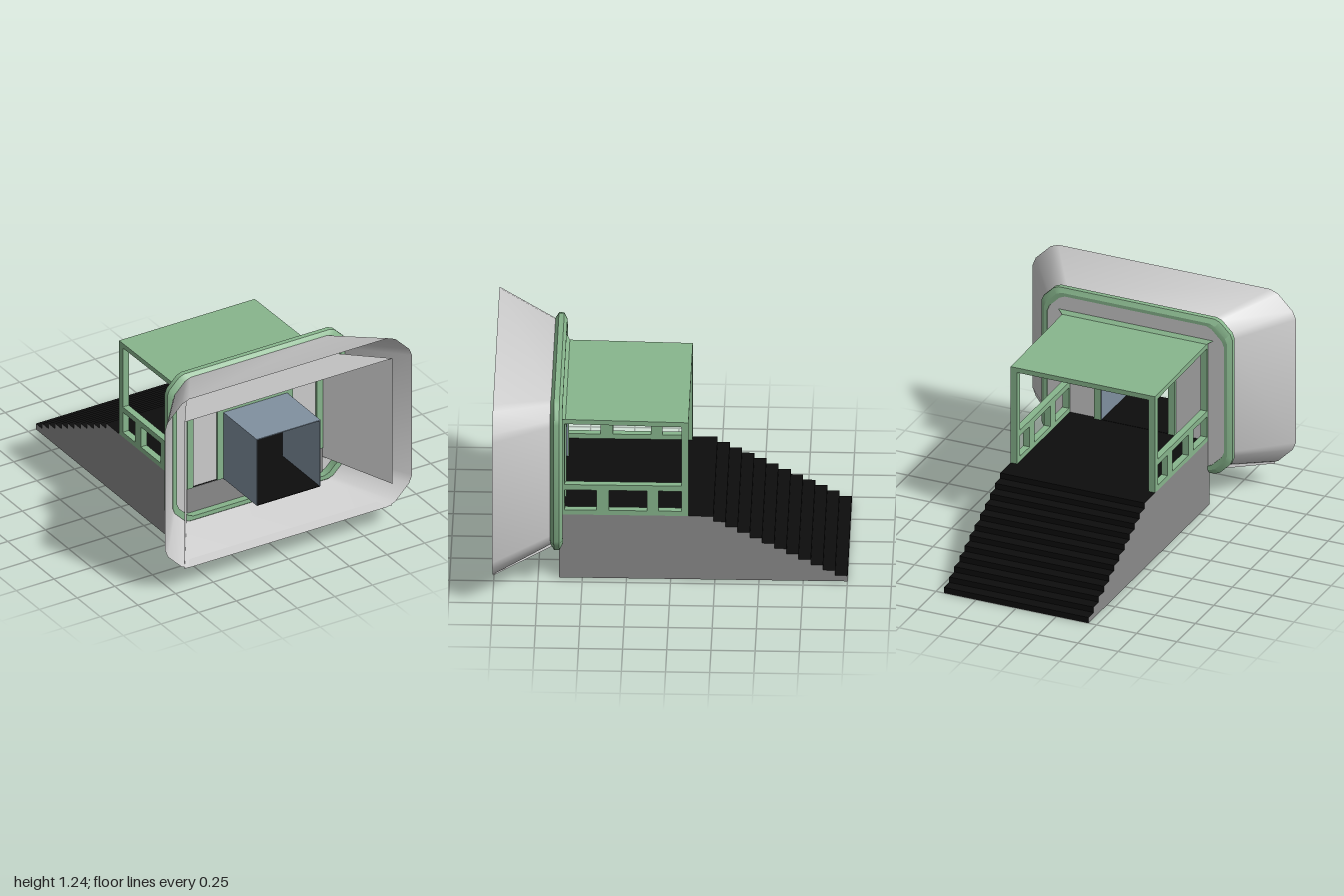
import * as THREE from 'three';
import { toCreasedNormals } from 'three/addons/utils/BufferGeometryUtils.js';

const mat = (color) => new THREE.MeshStandardMaterial({ color, side: THREE.DoubleSide });
const grey = mat(0xcccccc), green = mat(0x88b68d), black = mat(0x0d0d0d);
const darkGrey = mat(0x8a8a8a), blueGrey = mat(0x8090a0), brown = mat(0xa08040);

// Rectangle outline with softened chamfered corners, c = corner size
function outline(hw, y0, y1, c) {
  const corner = [[0, 1], [0.12, 0.7], [0.7, 0.12], [1, 0]];
  const top = corner.map(([a, b]) => [hw - a * c, y1 - b * c]);
  const bottom = corner.map(([a, b]) => [hw - a * c, y0 + b * c]).reverse();
  const right = [...bottom, ...top];
  return [...right, ...right.map(([x, y]) => [-x, y]).reverse()];
}

// Skin between closed loops of 3D points
function loft(loops, crease = 0.75) {
  const pos = [];
  for (let i = 0; i < loops.length - 1; i++) {
    const a = loops[i], b = loops[i + 1], n = a.length;
    for (let j = 0; j < n; j++) {
      const k = (j + 1) % n;
      pos.push(...a[j], ...a[k], ...b[k], ...a[j], ...b[k], ...b[j]);
    }
  }
  const g = new THREE.BufferGeometry();
  g.setAttribute('position', new THREE.Float32BufferAttribute(pos, 3));
  return toCreasedNormals(g, crease);
}

// Four-cornered panel
function quad(a, b, c, d) {
  const g = new THREE.BufferGeometry();
  g.setAttribute('position', new THREE.Float32BufferAttribute([a, b, c, a, c, d].flat(), 3));
  g.computeVertexNormals();
  return g;
}

export function createModel() {
  const model = new THREE.Group();
  const add = (name, geometry, material) => {
    const m = new THREE.Mesh(geometry, material);
    m.name = name;
    model.add(m);
    return m;
  };
  // Box given by its limits
  const box = (name, x0, x1, y0, y1, z0, z1, material) => {
    const m = add(name, new THREE.BoxGeometry(x1 - x0, y1 - y0, z1 - z0), material);
    m.position.set((x0 + x1) / 2, (y0 + y1) / 2, (z0 + z1) / 2);
    return m;
  };
  const mirrored = (name, x0, x1, ...rest) => {
    box(name, x0, x1, ...rest);
    box(name, -x1, -x0, ...rest);
  };

  // Platform with stairs: profile in (-z, y), extruded across x
  const steps = 12, deck = 0.41, rise = deck / steps, tread = 0.069;
  const profile = new THREE.Shape();
  profile.moveTo(-0.63, 0);
  profile.lineTo(-0.63, deck);
  for (let i = 0; i < steps; i++) {
    const z = 1 - (steps - 1 - i) * tread;
    profile.lineTo(z, deck - i * rise);
    profile.lineTo(z, deck - (i + 1) * rise);
  }
  const stairs = new THREE.ExtrudeGeometry(profile, { depth: 0.9, bevelEnabled: false });
  stairs.rotateY(Math.PI / 2).translate(-0.45, 0, 0);
  add('platformAndStairs', stairs, [darkGrey, black]);
  box('platformEnd', -0.45, 0.45, 0, deck - 0.002, 0.628, 0.633, darkGrey);
  box('platformUnderside', -0.45, 0.45, -0.002, 0.002, -1, 0.63, darkGrey);

  // Railings and posts on both sides
  mirrored('lowerRail', 0.41, 0.45, deck, 0.44, -0.1, 0.6, green);
  mirrored('upperRail', 0.41, 0.45, 0.57, 0.605, -0.1, 0.6, green);
  mirrored('railPost', 0.41, 0.45, 0.44, 0.57, 0.35, 0.42, green);
  mirrored('railPost', 0.41, 0.45, 0.44, 0.57, 0.07, 0.135, green);
  mirrored('canopyPost', 0.41, 0.45, deck, 1.0, -0.1, -0.06, green);
  mirrored('wallPost', 0.41, 0.45, deck, 1.03, 0.6, 0.64, green);
  box('wallHeader', -0.45, 0.45, 1.0, 1.03, 0.6, 0.64, green);

  // Canopy, falling slightly toward the stairs
  const roof = box('canopyRoof', -0.45, 0.45, 0.995, 1.025, -0.1, 0.6, green);
  roof.rotation.x = -0.016;
  const light = box('ceilingPanel', -0.2, 0.2, 0.987, 1.0, 0.07, 0.43, brown);
  light.rotation.x = -0.016;
  add('canopyFlashing', quad(
    [-0.45, 1.03, 0.595], [0.45, 1.03, 0.595], [0.5, 1.06, 0.625], [-0.5, 1.06, 0.625]), green);

  // End wall with a doorway
  const wall = new THREE.Shape(outline(0.55, 0.248, 1.14, 0.1).map((p) => new THREE.Vector2(...p)));
  wall.holes.push(new THREE.Path([[-0.21, deck], [-0.21, 0.84], [0.21, 0.84], [0.21, deck]]
    .map((p) => new THREE.Vector2(...p))));
  add('endWall', new THREE.ExtrudeGeometry(wall, { depth: 0.01, bevelEnabled: false })
    .translate(0, 0, 0.615), grey);

  // Door frame and corridor
  mirrored('doorJamb', 0.21, 0.25, deck, 0.88, 0.595, 0.64, green);
  box('doorLintel', -0.21, 0.21, 0.84, 0.88, 0.595, 0.64, green);
  mirrored('corridorWall', 0.206, 0.212, deck, 0.84, 0.6, 1, blueGrey);
  box('corridorRoof', -0.212, 0.212, 0.836, 0.842, 0.6, 1, blueGrey);
  box('corridorFloor', -0.21, 0.21, deck - 0.002, deck + 0.002, 0.6, 1, black);

  // Frame ring around the wall: [half width, z] around its section
  const section = [[0.55, 0.61], [0.57, 0.61], [0.595, 0.628], [0.595, 0.658],
    [0.57, 0.68], [0.545, 0.68], [0.55, 0.61]];
  add('frameRing', loft(section.map(([w, z]) =>
    outline(w, 0.693 - (w - 0.105), 0.693 + (w - 0.105), 0.11).map(([x, y]) => [x, y, z])), 0.5), green);

  // Flared outer hood
  add('outerHood', loft([
    outline(0.565, 0.225, 1.16, 0.115).map(([x, y]) => [x, y, 0.67]),
    outline(0.82, 0.14, 1.24, 0.16).map(([x, y]) => [x, y, 1])]), grey);

  // Inner lining, tapering toward the wall
  add('liningRight', quad(
    [-0.69, 0.14, 1], [-0.45, 0.22, 0.63], [-0.45, 1.03, 0.63], [-0.69, 1.1, 1]), grey);
  add('liningLeft', quad(
    [0.69, 0.28, 1], [0.69, 1.1, 1], [0.45, 1.03, 0.63], [0.45, 0.35, 0.63]), grey);
  add('liningTop', quad(
    [-0.69, 1.1, 1], [-0.45, 1.03, 0.63], [0.45, 1.03, 0.63], [0.69, 1.1, 1]), grey);
  add('liningFloor', quad(
    [-0.69, 0.142, 1], [0.69, 0.142, 1], [0.45, 0.225, 0.63], [-0.45, 0.225, 0.63]), grey);

  return model;
}
